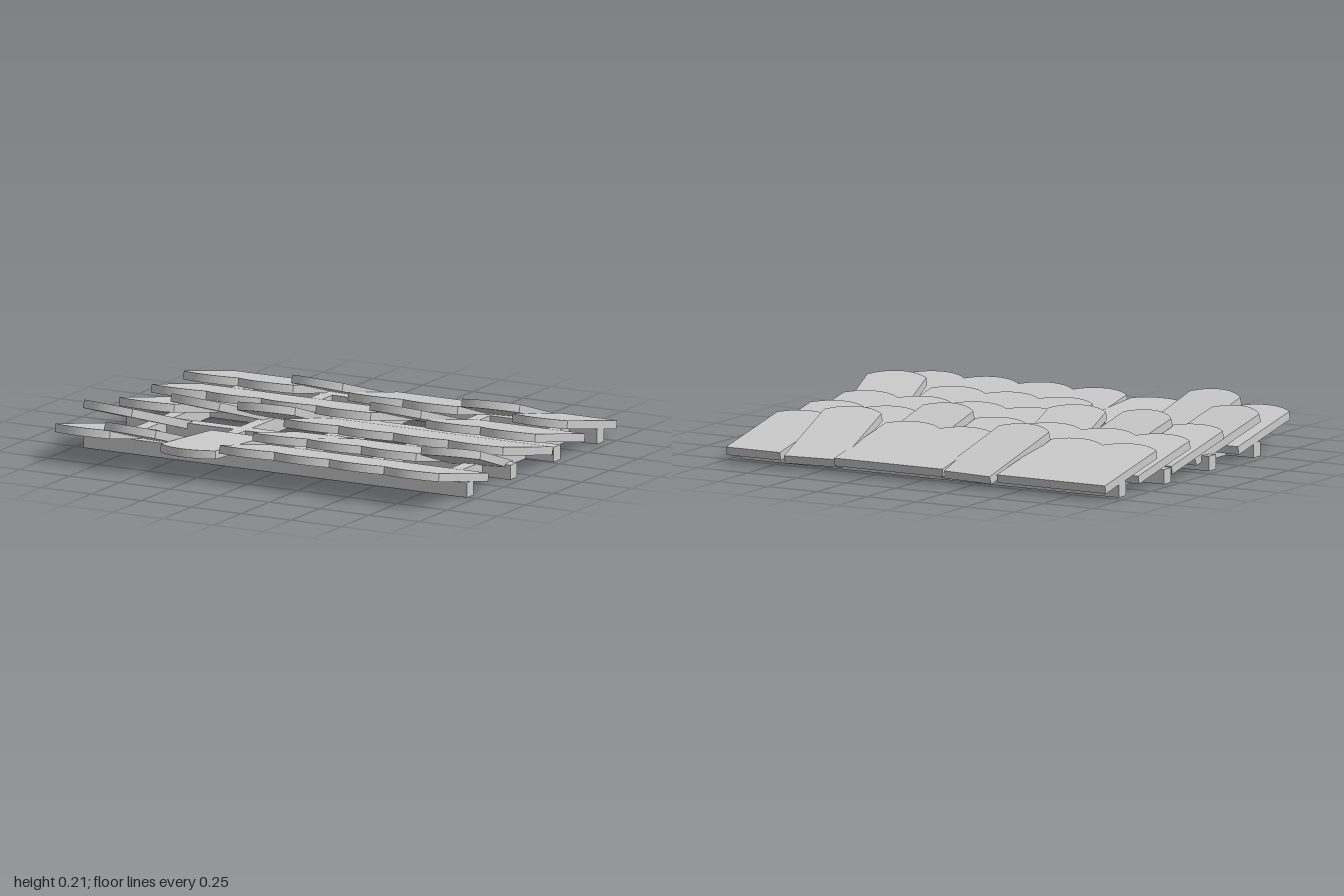
import * as THREE from 'three';

const COLS = 7, ROWS = 5;
const TILE_W = 1.92 / COLS, TILE_L = 0.5, TILE_T = 0.037, SAG = 0.05;

// Displaced tiles keyed by "row,column", row 0 at the front; null marks a missing one
const LOOSE = {
  '0,1': { yaw: -0.115, z: 0.585 },
  '0,2': { yaw: 0, z: 0.59, y: 0.127, pitch: 0.07 },
  '1,0': { yaw: -0.18, z: 0.275 },
  '1,1': null,
  '1,2': null,
  '1,3': { yaw: 0.06, z: 0.275, y: 0.12, pitch: 0.2 },
  '1,6': { yaw: 0.18, z: 0.275 },
  '2,1': { yaw: -0.18, z: -0.015 },
  '2,2': { yaw: 0.11, z: -0.06 },
  '3,4': { yaw: -0.11, z: -0.31 },
  '4,2': { yaw: -0.115, z: -0.59 },
  '4,5': { yaw: 0.115, z: -0.59 },
};

// Flat slab with a rounded front end, top face at y = 0
function tileGeometry() {
  const w = TILE_W / 2, h = TILE_L / 2;
  const r = (w * w + SAG * SAG) / (2 * SAG), a = Math.asin(w / r);
  const shape = new THREE.Shape();
  shape.moveTo(-w, -h);
  shape.lineTo(w, -h);
  shape.lineTo(w, h - SAG);
  shape.absarc(0, h - r, r, Math.PI / 2 - a, Math.PI / 2 + a, false);
  shape.closePath();
  return new THREE.ExtrudeGeometry(shape, { depth: TILE_T, bevelEnabled: false, curveSegments: 10 })
    .rotateX(Math.PI / 2);
}

export function createModel() {
  const model = new THREE.Group();
  model.name = 'roofSection';
  const material = new THREE.MeshStandardMaterial({ color: 0xcccccc });

  // Overlapping rows of tiles
  const tiles = new THREE.Group();
  tiles.name = 'tiles';
  model.add(tiles);
  const geometry = tileGeometry();
  for (let row = 0; row < ROWS; row++) {
    for (let col = 0; col < COLS; col++) {
      const loose = LOOSE[`${row},${col}`];
      if (loose === null) continue;
      const place = loose
        ? { y: 0.137, pitch: 0.31, ...loose }
        : { y: 0.12, pitch: 0.2, yaw: 0, z: 0.555 - row * 0.285 };
      const tile = new THREE.Mesh(geometry, material);
      tile.name = loose ? 'looseTile' : 'tile';
      tile.position.set((col - (COLS - 1) / 2) * TILE_W, place.y, place.z);
      tile.rotation.set(-place.pitch, place.yaw, 0, 'YXZ');
      tiles.add(tile);
    }
  }

  // Wooden lattice underneath
  const lattice = new THREE.Group();
  lattice.name = 'lattice';
  model.add(lattice);
  const addBeam = (name, sx, sz, x, z) => {
    const beam = new THREE.Mesh(new THREE.BoxGeometry(sx, 0.066, sz), material);
    beam.name = name;
    beam.position.set(x, 0.033, z);
    lattice.add(beam);
  };
  for (let i = 0; i < 4; i++) addBeam('batten', 1.92, 0.06, 0, 0.475 - i * 0.385);
  for (let i = -2; i <= 2; i++) addBeam('rafter', 0.06, 1.21, i * 0.395, -0.1025);

  return model;
}
